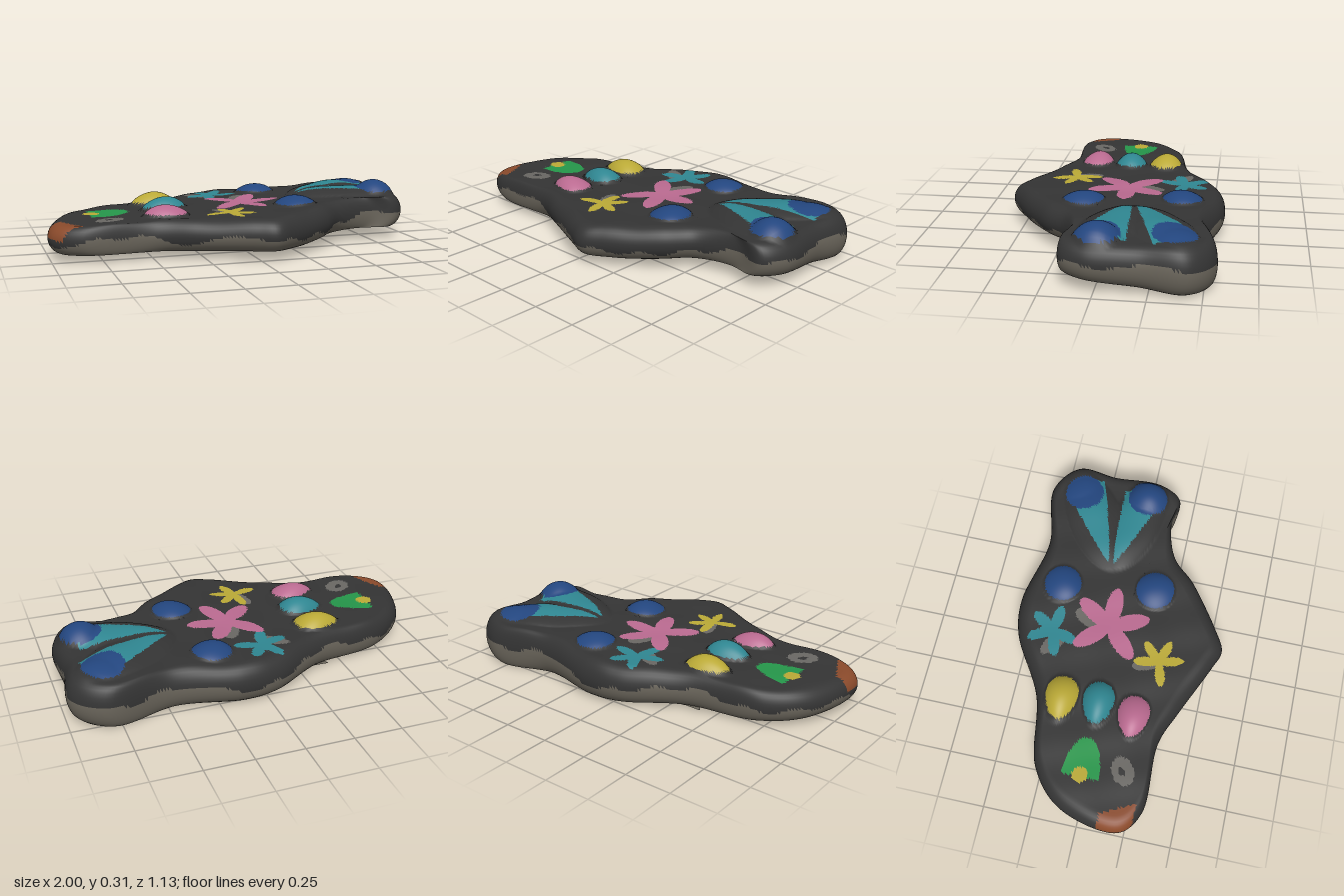
import * as THREE from 'three';

const { lerp, smoothstep, degToRad } = THREE.MathUtils;

const mat = (name, color) => {
  const m = new THREE.MeshStandardMaterial({ color, side: THREE.DoubleSide });
  m.name = name;
  return m;
};

// Slab outline from above (x, z): tail, front tip, head, back
const OUTLINE = [
  [-1, .22], [-.88, .32], [-.5, .33], [-.32, .4], [-.03, .53], [.07, .565], [.18, .51], [.42, .34],
  [.55, .21], [.75, .15], [.9, .17], [.975, .05], [.97, -.22], [.98, -.44], [.83, -.555], [.5, -.5],
  [.13, -.57], [-.06, -.54], [-.38, -.36], [-.76, -.27], [-.94, -.1],
];

// Each shape gives a squared distance at (x, z): under 1 is inside
const egg = (cx, cz, rx, rz, taper = 0) => (x, z) => {
  const a = (x - cx) / rx;
  return a * a + ((z - cz) / (rz * (1 + taper * a))) ** 2;
};
// Position along (0 to 1) and across the line between two points
const along = (x0, z0, x1, z1) => {
  const dx = x1 - x0, dz = z1 - z0, len = Math.hypot(dx, dz);
  return (x, z) => [((x - x0) * dx + (z - z0) * dz) / len ** 2, ((z - z0) * dx - (x - x0) * dz) / len];
};
const oval = (x0, z0, x1, z1, w) => {
  const local = along(x0, z0, x1, z1);
  return (x, z) => {
    const [t, c] = local(x, z);
    return (2 * t - 1) ** 2 + (c / w) ** 2;
  };
};
const wedge = (x0, z0, x1, z1, w) => {
  const local = along(x0, z0, x1, z1);
  return (x, z) => {
    const [t, c] = local(x, z);
    return t > 0 && t < 1 ? (c / (w * t ** .8)) ** 2 : 2;
  };
};
const flower = (cx, cz, len, w, angles) => {
  const petals = angles.map(a => oval(cx, cz, cx + len * Math.cos(degToRad(a)), cz + len * Math.sin(degToRad(a)), w));
  return (x, z) => Math.min(...petals.map(p => p(x, z)));
};

export function createModel() {
  const charcoal = mat('charcoal', 0x343434), stone = mat('stone', 0x69645a), blue = mat('blue', 0x23467f);
  const teal = mat('teal', 0x2f8691), pink = mat('pink', 0xba6a90), yellow = mat('yellow', 0xbaa936);
  const green = mat('green', 0x25964a), rust = mat('rust', 0x8a4a2b), grey = mat('grey', 0x696763);

  // Painted parts: the first match wins, height raises a rounded bump
  const parts = [], bumps = [];
  const paint = (name, material, shape, height = 0) => {
    parts.push({ name, material, shape });
    if (height) bumps.push({ shape, height });
  };
  paint('frontEye', blue, egg(.83, -.005, .107, .107), .07);
  paint('backEye', blue, egg(.795, -.36, .107, .107), .035);
  paint('frontSpot', blue, egg(.305, .145, .103, .103), .045);
  paint('backSpot', blue, egg(.24, -.355, .1, .1), .045);
  paint('yellowEgg', yellow, egg(-.39, -.215, .117, .083, .22), .06);
  paint('tealEgg', teal, egg(-.378, -.02, .113, .08, .22), .065);
  paint('pinkEgg', pink, egg(-.41, .175, .112, .08, .22), .055);
  // Wedges on two ridges running from the neck to the eyes
  paint('backWedge', teal, wedge(.41, -.14, .85, -.37, .115));
  paint('frontWedge', teal, wedge(.41, -.11, .85, -.03, .11));
  bumps.push({ shape: oval(.4, -.1, .9, -.42, .14), height: .04 });
  bumps.push({ shape: oval(.4, -.12, .92, .02, .13), height: .045 });
  paint('yellowDot', yellow, egg(-.765, -.03, .042, .042));
  const bell = egg(-.78, -.028, .215, .098);
  paint('greenPatch', green, (x, z) => (x > -.775 ? bell(x, z) : 2));
  paint('rustCorner', rust, (x, z) => (z > .11 && z < .285 && x < -.93 + .5 * (z - .12) ? 0 : 2));
  paint('ringHole', charcoal, oval(-.72, .2, -.69, .16, .015));
  paint('greyRing', grey, oval(-.765, .225, -.635, .14, .058));
  paint('pinkFlower', pink, flower(.055, -.055, .22, .046, [-131, -57, 1, 68, 135]));
  paint('tealFlower', teal, flower(-.03, -.345, .145, .031, [-118, -57, 7, 107, 165]));
  paint('yellowFlower', yellow, flower(-.09, .245, .135, .026, [-97, -43, 19, 74, 164]));
  paint('pinkFlowerCentre', grey, oval(.05, .02, .1, -.25, .06));
  paint('tealFlowerCentre', grey, oval(-.17, -.38, -.02, -.27, .04));
  paint('yellowFlowerCentre', grey, oval(-.14, .11, -.07, .29, .035));

  const topY = (x, z) => {
    const lifts = bumps.map(b => b.height * Math.max(0, 1 - b.shape(x, z) / 1.2) ** .8);
    return .218 + .03 * x + .004 * Math.sin(17 * x + 5 * z) * Math.sin(14 * z - 6 * x) + Math.max(...lifts);
  };
  // Lower rim, tilted more under the head
  const rimY = (x, z) => lerp(.032 + .04 * z, .055 + .1 * z, smoothstep(x, .2, .7));

  // Shell rings: rounded wall from the open rim upward, then inward to the centre
  const SEG = 320, SIDE = 14, INNER = 68, CX = .1;
  const edge = new THREE.CatmullRomCurve3(OUTLINE.map(([x, z]) => new THREE.Vector3(x, 0, z)), true)
    .getSpacedPoints(SEG).slice(0, SEG);
  const pos = [];
  for (let r = 0; r <= SIDE + INNER; r++) {
    const a = degToRad(-75 + 165 * Math.min(1, r / SIDE));
    const inset = .075 * (1 - Math.cos(a)), f = .5 + .5 * Math.sin(a);
    const k = Math.min(1, 1 - (r - SIDE) / INNER);
    for (const p of edge) {
      const dx = p.x - CX, s = (1 - inset / Math.hypot(dx, p.z)) * k;
      const x = CX + dx * s, z = p.z * s;
      pos.push(x, lerp(rimY(x, z), topY(x, z), f), z);
    }
  }

  // Sort the faces into painted parts, dark top and pale lower wall
  const regions = new Map(), all = [];
  const addFace = (...corners) => {
    const [x, y, z] = [0, 1, 2].map(o => corners.reduce((sum, c) => sum + pos[c * 3 + o], 0) / 3);
    const band = .115 + .03 * smoothstep(x, .1, .9)
      + .02 * Math.sin(9 * x + 4 * z) + .012 * Math.sin(23 * x - 15 * z);
    const wall = y < band ? { name: 'lowerWall', material: stone } : { name: 'slabTop', material: charcoal };
    const { name, material } = (y > .12 && parts.find(p => p.shape(x, z) < 1)) || wall;
    if (!regions.has(name)) regions.set(name, { material, index: [] });
    regions.get(name).index.push(...corners);
    all.push(...corners);
  };
  for (let r = 0; r < SIDE + INNER; r++) {
    for (let s = 0; s < SEG; s++) {
      const a = r * SEG + s, b = r * SEG + (s + 1) % SEG;
      addFace(a, b, a + SEG);
      if (r < SIDE + INNER - 1) addFace(b, b + SEG, a + SEG);
    }
  }

  const group = new THREE.Group();
  group.name = 'paintedSlab';
  const build = (points, index) => {
    const g = new THREE.BufferGeometry();
    g.setAttribute('position', new THREE.Float32BufferAttribute(points, 3));
    g.setIndex(index);
    g.computeVertexNormals();
    return g;
  };
  const add = (name, geometry, material) => {
    const mesh = new THREE.Mesh(geometry, material);
    mesh.name = name;
    group.add(mesh);
  };
  // All regions share the shell's points and smooth normals
  const shell = build(pos, all);
  for (const [name, { material, index }] of regions) {
    const g = new THREE.BufferGeometry();
    g.setAttribute('position', shell.attributes.position);
    g.setAttribute('normal', shell.attributes.normal);
    g.setIndex(index);
    add(name, g, material);
  }

  // Underside: closes the head and back rim, leaving the rest of the bottom open
  const nearest = (x, z) => edge.reduce((best, p, i) =>
    Math.hypot(p.x - x, p.z - z) < Math.hypot(edge[best].x - x, edge[best].z - z) ? i : best, 0);
  const first = nearest(.76, .15), count = nearest(-.45, -.34) - first;
  const lip = new THREE.CatmullRomCurve3([[.75, .1], [.6, 0], [.3, -.19], [.02, -.31], [-.42, -.33]]
    .map(([x, z]) => new THREE.Vector3(x, rimY(x, z), z)));
  const under = [], underIndex = [];
  for (let i = 0; i <= count; i++) {
    const j = (first + i) * 3, a = i * 2;
    under.push(...pos.slice(j, j + 3), ...lip.getPoint(i / count).toArray());
    if (i < count) underIndex.push(a, a + 1, a + 2, a + 2, a + 1, a + 3);
  }
  add('underside', build(under, underIndex), stone);

  // Rest the lowest point on the ground
  shell.computeBoundingBox();
  group.position.y = -shell.boundingBox.min.y;
  return group;
}
